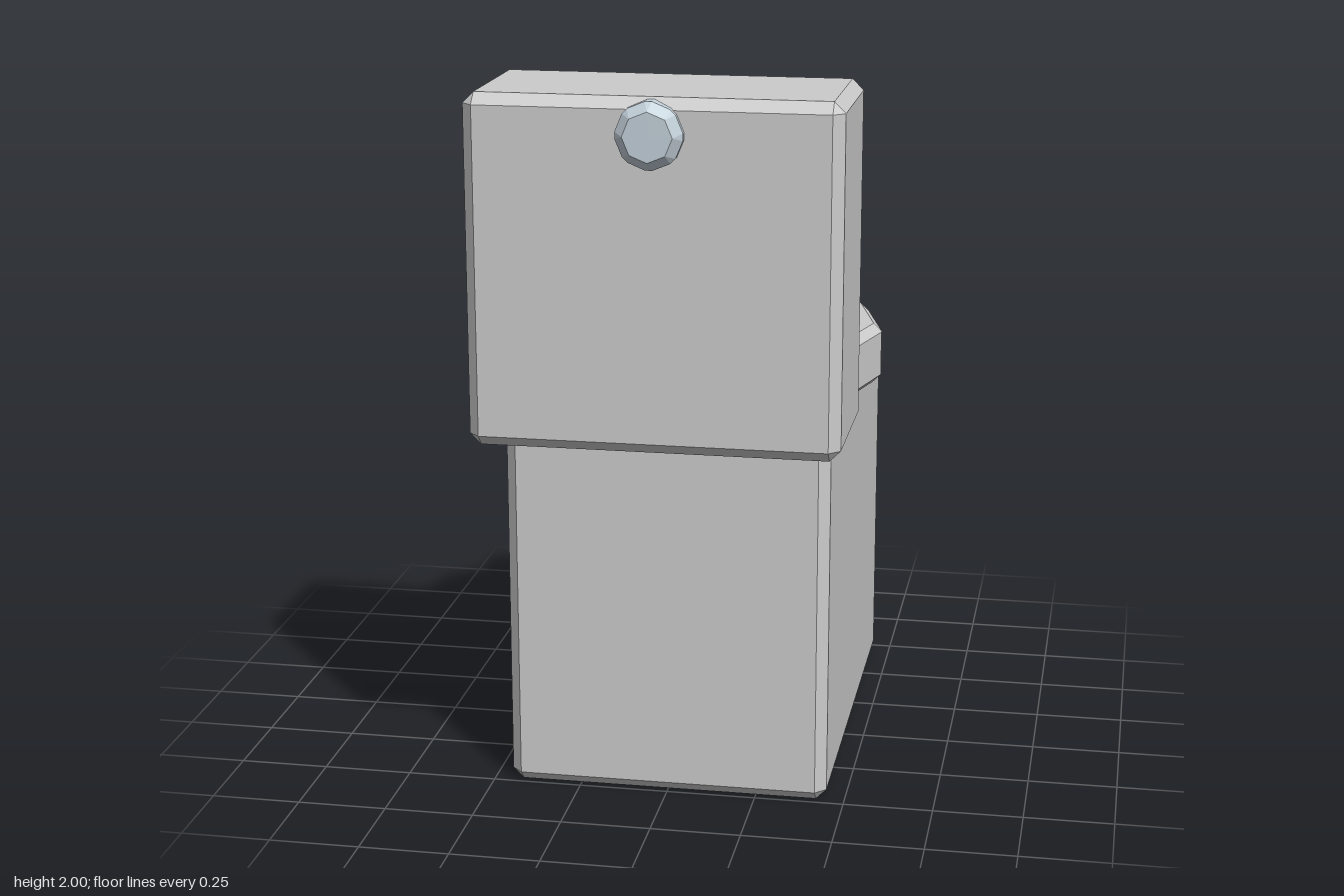
import * as THREE from 'three';

// Corners of a regular polygon in the x/z plane, counter-clockwise from above
const polygon = (sides, r) => Array.from({ length: sides }, (_, i) => {
  const a = (i / sides) * Math.PI * 2;
  return [Math.cos(a) * r, -Math.sin(a) * r];
});
const rectangle = (w, d) => [[w, d], [w, -d], [-w, -d], [-w, d]].map(([x, z]) => [x / 2, z / 2]);

// Upright prism with every edge chamfered; `corners` outline the flat cap
function chamferedPrism(corners, height, b) {
  const n = corners.length;
  const inner = [], outer = [];
  const normal = (i) => {
    const p = corners[(i + n) % n], q = corners[(i + 1 + n) % n];
    const dx = q[0] - p[0], dz = q[1] - p[1], l = Math.hypot(dx, dz);
    return [-dz / l, dx / l];
  };
  corners.forEach(([x, z], i) => {
    for (const [nx, nz] of [normal(i - 1), normal(i)]) {
      inner.push([x, z]);
      outer.push([x + nx * b, z + nz * b]);
    }
  });
  const ring = (pts, y) => pts.map(([x, z]) => new THREE.Vector3(x, y, z));
  const rings = [ring(inner, 0), ring(outer, b), ring(outer, height - b), ring(inner, height)];
  const positions = [];
  const tri = (p, q, r) => {
    if (p.equals(q) || q.equals(r) || r.equals(p)) return;
    for (const v of [p, q, r]) positions.push(v.x, v.y, v.z);
  };
  const m = 2 * n;
  for (let k = 0; k < 3; k++) {
    for (let i = 0; i < m; i++) {
      const j = (i + 1) % m, lo = rings[k], hi = rings[k + 1];
      tri(lo[i], lo[j], hi[j]);
      tri(lo[i], hi[j], hi[i]);
    }
  }
  // Flat caps
  const bottom = new THREE.Vector3(0, 0, 0), top = new THREE.Vector3(0, height, 0);
  for (let i = 0; i < m; i++) {
    const j = (i + 1) % m;
    tri(bottom, rings[0][j], rings[0][i]);
    tri(top, rings[3][i], rings[3][j]);
  }
  const geometry = new THREE.BufferGeometry();
  geometry.setAttribute('position', new THREE.Float32BufferAttribute(positions, 3));
  geometry.computeVertexNormals();
  return geometry;
}

export function createModel() {
  const group = new THREE.Group();
  const grey = new THREE.MeshStandardMaterial({ color: 0xcccccc, flatShading: true });
  const metal = new THREE.MeshStandardMaterial({ color: 0xc3d0d9, flatShading: true });

  const add = (name, geometry, material, x, y, z) => {
    const mesh = new THREE.Mesh(geometry, material);
    mesh.name = name;
    mesh.position.set(x, y, z);
    group.add(mesh);
    return mesh;
  };

  // Pedestal block
  add('base', chamferedPrism(rectangle(0.84, 1.19), 1.05, 0.03), grey, 0, 0, -0.12);
  // Twelve-sided lid resting on the base
  add('lid', chamferedPrism(polygon(12, 0.495), 0.175, 0.024), grey, 0, 1.055, -0.123);
  // Tank overhanging the end of the base
  add('tank', chamferedPrism(rectangle(0.94, 0.39), 0.95, 0.03), grey, 0, 1.05, 0.48);
  // Flush button set into the tank face
  const button = add('flushButton', chamferedPrism(polygon(8, 0.066), 0.09, 0.025), metal, 0, 1.905, 0.655);
  button.rotation.x = Math.PI / 2;

  return group;
}
